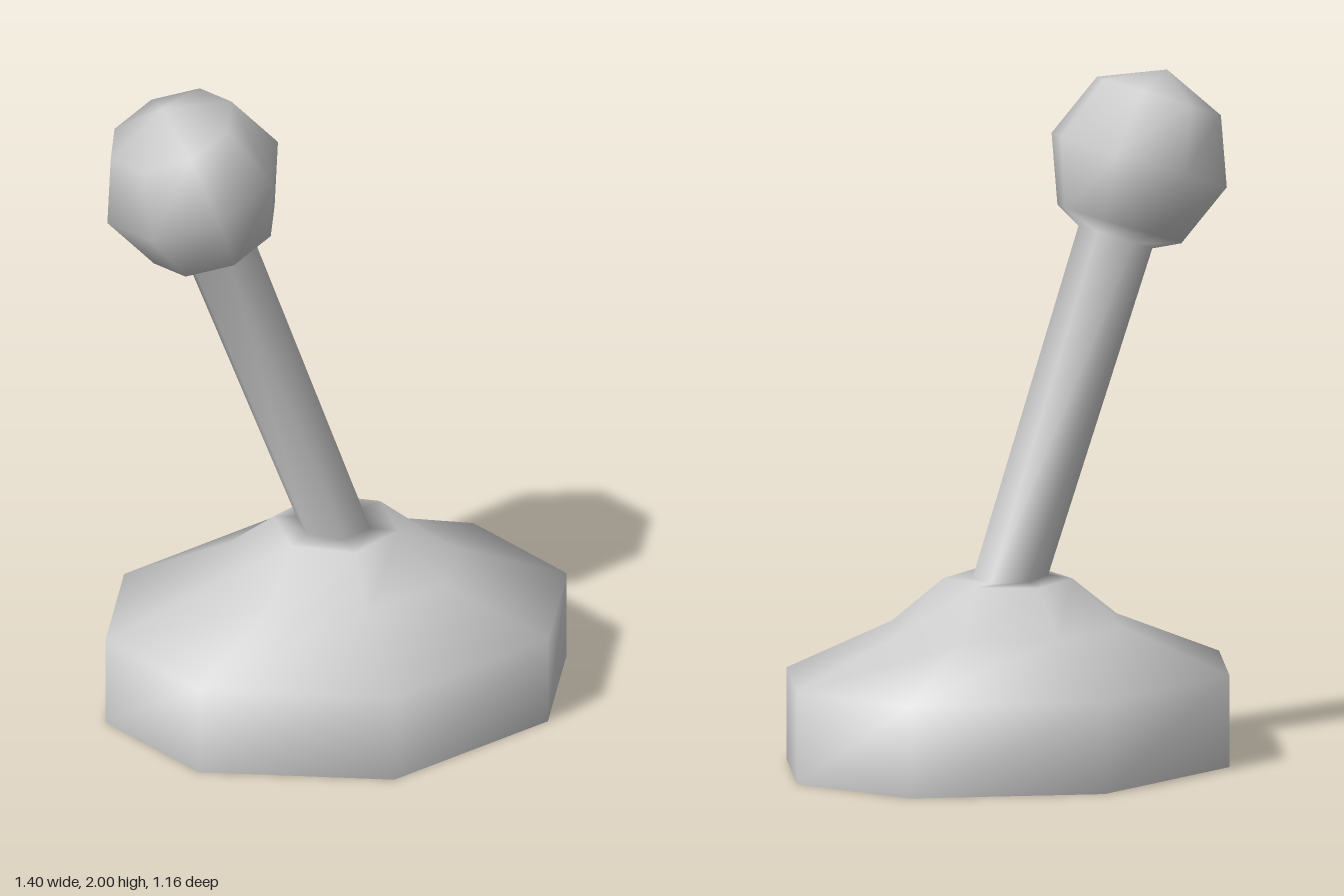
import * as THREE from 'three';
import { mergeVertices } from 'three/addons/utils/BufferGeometryUtils.js';

const TILT = THREE.MathUtils.degToRad(19.7);
const KNOB = new THREE.Vector3(-0.435, 1.74, 0);
const KNOB_RADIUS = 0.275;

// Pairing of eight-sided and six-sided rings, so both loft with the same count
const OCT = [0, 0, 1, 2, 3, 4, 4, 5, 6, 7];
const HEX = [5, 0, 0, 1, 2, 2, 3, 3, 4, 5];

// Eight-sided ring: half width, half depth, and the corner in between
function octagon(y, rx, rz, dx = rx * Math.SQRT1_2, dz = rz * Math.SQRT1_2) {
  const corners = [[rx, 0], [dx, dz], [0, rz], [-dx, dz], [-rx, 0], [-dx, -dz], [0, -rz], [dx, -dz]];
  return OCT.map((k) => new THREE.Vector3(corners[k][0], y, corners[k][1]));
}

// Six-sided ring with flat sides towards left and right
function hexagon(y, r) {
  return HEX.map((k) => {
    const a = Math.PI / 6 + (k * Math.PI) / 3;
    return new THREE.Vector3(r * Math.cos(a), y, r * Math.sin(a));
  });
}

// Places a ring on the leaning axis, measured from the knob centre
function lean(ring) {
  return ring.map((p) => p.applyAxisAngle(new THREE.Vector3(0, 0, 1), TILT).add(KNOB));
}

function knobRing(degrees) {
  const a = THREE.MathUtils.degToRad(degrees);
  const r = KNOB_RADIUS * Math.cos(a);
  return lean(octagon(KNOB_RADIUS * Math.sin(a), r, r));
}

export function createModel() {
  // Rings from the open underside up to the top of the knob
  const rings = [
    octagon(0, 0.7, 0.58, 0.53, 0.37),
    octagon(0.27, 0.7, 0.58, 0.53, 0.37),
    octagon(0.41, 0.36, 0.308, 0.265, 0.215),
    hexagon(0.545, 0.187),
    hexagon(0.55, 0.11).map((p) => p.add(new THREE.Vector3(-0.008, -0.06 * p.x, 0))),
    lean(hexagon(-0.234, 0.112)),
    knobRing(-45),
    knobRing(0),
    knobRing(45),
    knobRing(90),
  ];
  const parts = [
    { name: 'base', from: 0, to: 4 },
    { name: 'stick', from: 4, to: 5 },
    { name: 'knob', from: 5, to: 9 },
  ];

  const points = rings.flat();
  const n = OCT.length;
  const index = [];
  const addTriangle = (...t) => {
    const [a, b, c] = t.map((i) => points[i]);
    if (new THREE.Triangle(a, b, c).getArea() > 1e-6) index.push(...t);
  };
  for (const part of parts) {
    part.start = index.length;
    for (let i = part.from; i < part.to; i++) {
      for (let j = 0; j < n; j++) {
        const a = i * n + j, b = i * n + ((j + 1) % n);
        addTriangle(a, a + n, b);
        addTriangle(b, a + n, b + n);
      }
    }
    part.end = index.length;
  }

  // Weld the whole skin so that shading flows smoothly across the joins
  let skin = new THREE.BufferGeometry().setFromPoints(points);
  skin.setIndex(index);
  skin = mergeVertices(skin, 1e-4);
  skin.computeVertexNormals();

  // Cut the skin into its named parts
  const material = new THREE.MeshStandardMaterial({ color: 0xcccccc, side: THREE.DoubleSide });
  const group = new THREE.Group();
  group.name = 'controlStick';
  const welded = Array.from(skin.index.array);
  for (const part of parts) {
    const piece = skin.clone();
    piece.setIndex(welded.slice(part.start, part.end));
    const mesh = new THREE.Mesh(piece.toNonIndexed(), material);
    mesh.name = part.name;
    group.add(mesh);
  }
  return group;
}
